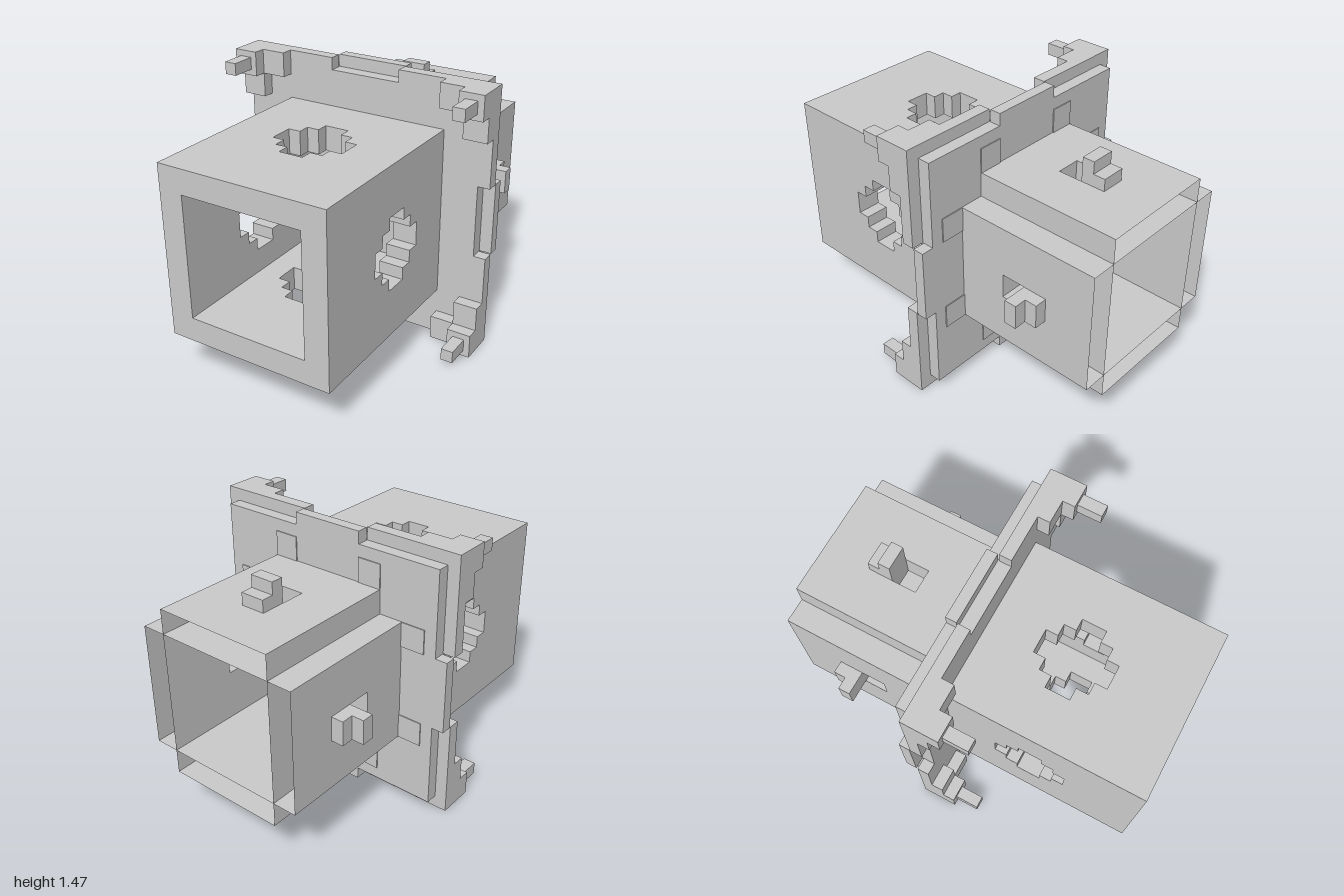
import * as THREE from 'three';

const material = new THREE.MeshStandardMaterial({ color: 0xcccccc, flatShading: true });
const thinMaterial = new THREE.MeshStandardMaterial({ color: 0xcccccc, flatShading: true, side: THREE.DoubleSide });

function add(parent, name, geometry, mat = material) {
  const mesh = new THREE.Mesh(geometry, mat);
  mesh.name = name;
  parent.add(mesh);
  return mesh;
}

// Box given by its minimum and maximum corners
function box(parent, name, [x0, y0, z0], [x1, y1, z1]) {
  const g = new THREE.BoxGeometry(x1 - x0, y1 - y0, z1 - z0);
  g.translate((x0 + x1) / 2, (y0 + y1) / 2, (z0 + z1) / 2);
  return add(parent, name, g);
}

const toPoints = (list) => list.map(([x, y]) => new THREE.Vector2(x, y));

function rectPoints(x0, y0, x1, y1) {
  return toPoints([[x0, y0], [x1, y0], [x1, y1], [x0, y1]]);
}

function shapeWithHole(outline, hole) {
  const shape = new THREE.Shape(outline);
  shape.holes.push(new THREE.Path(hole));
  return shape;
}

// Repeat a list of points at four quarter turns
function quarterTurns(list) {
  const out = [];
  for (let k = 0; k < 4; k++) {
    for (let [x, y] of list) {
      for (let i = 0; i < k; i++) [x, y] = [-y, x];
      out.push([x, y]);
    }
  }
  return out;
}

// Stepped round window
function steppedWindow(cz) {
  const steps = quarterTurns([[3, -1], [3, 1], [2, 1], [2, 2], [1, 2]]);
  // neighbouring quarters share the outer step corners
  const unique = steps.filter(([x, y], i) => {
    const [a, b] = steps[(i + 1) % steps.length];
    return x !== a || y !== b;
  });
  return toPoints(unique.map(([x, y]) => [x, y + cz]));
}

// One of the four walls of the front tube
function frontWall(side) {
  const shape = shapeWithHole(rectPoints(-7, -1, 5, 15), steppedWindow(6));
  const g = new THREE.ExtrudeGeometry(shape, { depth: 2, bevelEnabled: false });
  g.rotateX(Math.PI / 2).translate(0, 7, 0);
  add(side, 'frontTubeWall', g);
}

// One side of the cross-shaped rear tube: two thin walls, a lined hole and a stepped knob
function rearWall(side) {
  for (const [name, half, y] of [['rearOuterWall', 5, 7], ['rearInnerWall', 7, 5]]) {
    const shape = shapeWithHole(rectPoints(-half, -15, half, -3), rectPoints(-1, -9, 1, -7));
    const g = new THREE.ShapeGeometry(shape);
    // flip so the outward side is the front
    g.scale(1, -1, 1).rotateX(-Math.PI / 2).translate(0, y, 0);
    add(side, name, g, thinMaterial);
  }
  const lining = new THREE.CylinderGeometry(Math.SQRT2, Math.SQRT2, 2, 4, 1, true);
  lining.rotateY(Math.PI / 4).translate(0, 6, -8);
  add(side, 'holeLining', lining, thinMaterial);
  box(side, 'knobTall', [-1, 7, -10], [1, 9, -9]);
  box(side, 'knobShort', [-1, 7, -11], [1, 8, -10]);
  // small pads where the tube meets the back panel
  for (const x of [-5, 3]) box(side, 'panelPad', [x, 7, -3.08], [x + 2, 9, -3]);
}

// Corner bracket with a forward peg
function corner(side) {
  box(side, 'cornerArmAcross', [7, 9, -1], [11, 11, 0]);
  box(side, 'cornerArmDown', [9, 7, -1], [11, 9, 0]);
  box(side, 'cornerBlock', [9, 9, 0], [11, 11, 1]);
  box(side, 'cornerPeg', [9.5, 9.5, 1], [10.5, 10.5, 3]);
}

export function createModel() {
  const model = new THREE.Group();
  model.name = 'model';
  const body = new THREE.Group();
  body.name = 'body';
  body.scale.setScalar(1 / 15);
  body.position.y = 11 / 15;
  model.add(body);

  // Flange plate, notched in the middle of each edge
  const outline = quarterTurns([[11, -11], [11, -3], [10, -3], [10, 3], [11, 3]]);
  const plate = new THREE.ExtrudeGeometry(new THREE.Shape(toPoints(outline)), { depth: 1, bevelEnabled: false });
  plate.translate(0, 0, -2);
  add(body, 'flangePlate', plate);
  box(body, 'backPanel', [-10, -10, -3], [10, 10, -2]);

  // Parts repeated on all four sides
  for (let k = 0; k < 4; k++) {
    const side = new THREE.Group();
    side.name = 'side' + (k + 1);
    side.rotation.z = (k * Math.PI) / 2;
    body.add(side);
    frontWall(side);
    rearWall(side);
    corner(side);
    box(side, 'edgeTab', [-3, 10, -3], [3, 11, -2.1]);
  }
  return model;
}
